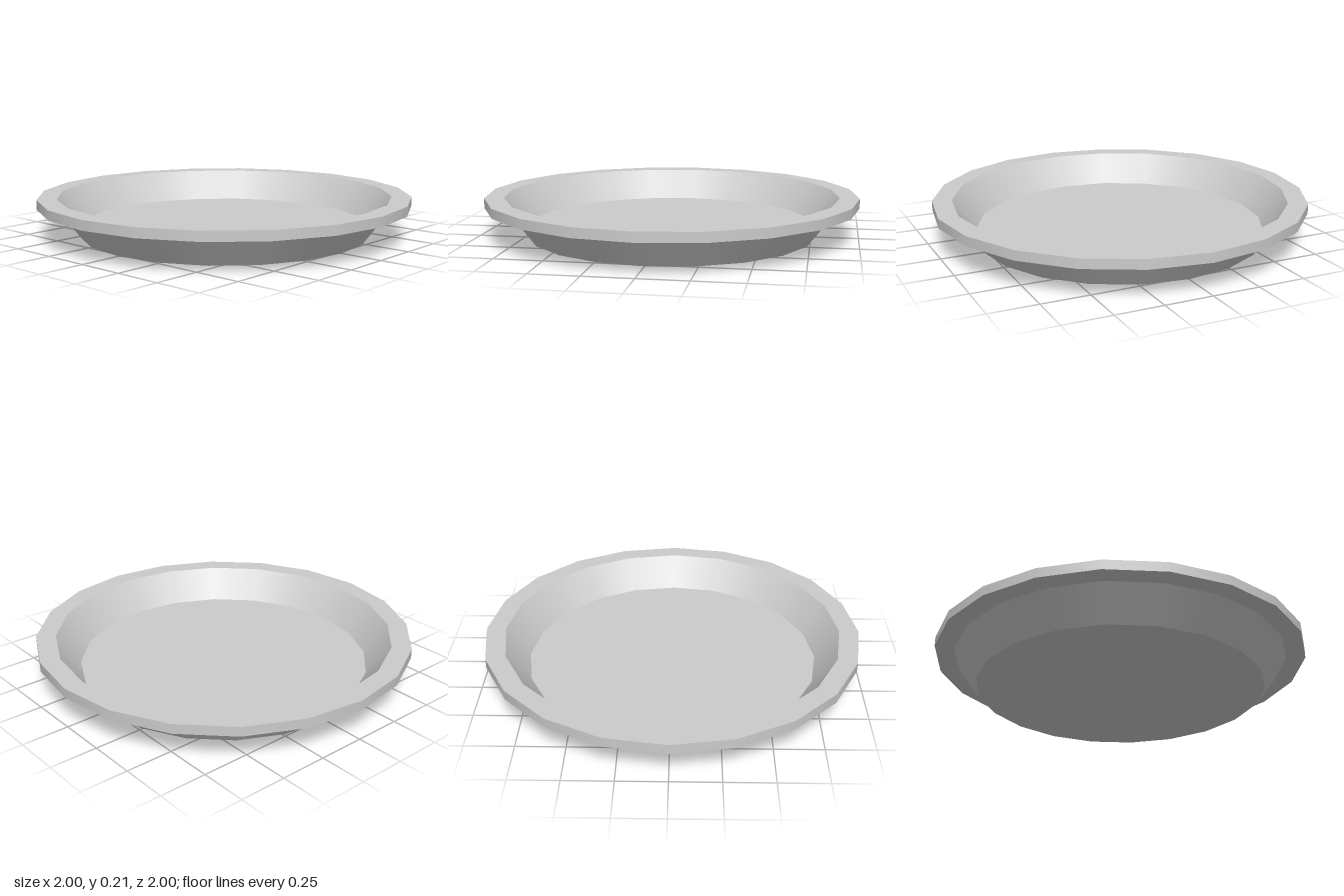
import * as THREE from 'three';

const SIDES = 20;

export function createModel() {
  const dish = new THREE.Group();
  dish.name = 'dish';
  const material = new THREE.MeshStandardMaterial({ color: 0xcccccc });

  // One ring per profile segment: smooth around, sharp between rings
  const ring = (name, r0, y0, r1, y1) => {
    const points = [new THREE.Vector2(r0, y0), new THREE.Vector2(r1, y1)];
    const mesh = new THREE.Mesh(new THREE.LatheGeometry(points, SIDES), material);
    mesh.name = name;
    dish.add(mesh);
  };

  // Flat disc, a vertex pointing to the front
  const disc = (name, y, tilt) => {
    const geometry = new THREE.CircleGeometry(0.774, SIDES).rotateX(tilt);
    const mesh = new THREE.Mesh(geometry, material);
    mesh.name = name;
    mesh.position.y = y;
    dish.add(mesh);
  };

  // Outside, from the base up to the rim
  disc('base', 0, Math.PI / 2);
  ring('outerWall', 0.774, 0, 0.896, 0.162);
  ring('rimUnderside', 0.896, 0.162, 1, 0.162);
  ring('rimEdge', 1, 0.162, 1, 0.213);
  ring('rimTop', 1, 0.213, 0.896, 0.213);

  // Inside, down to the floor
  ring('innerWall', 0.896, 0.213, 0.774, 0.053);
  disc('floor', 0.053, -Math.PI / 2);

  return dish;
}
